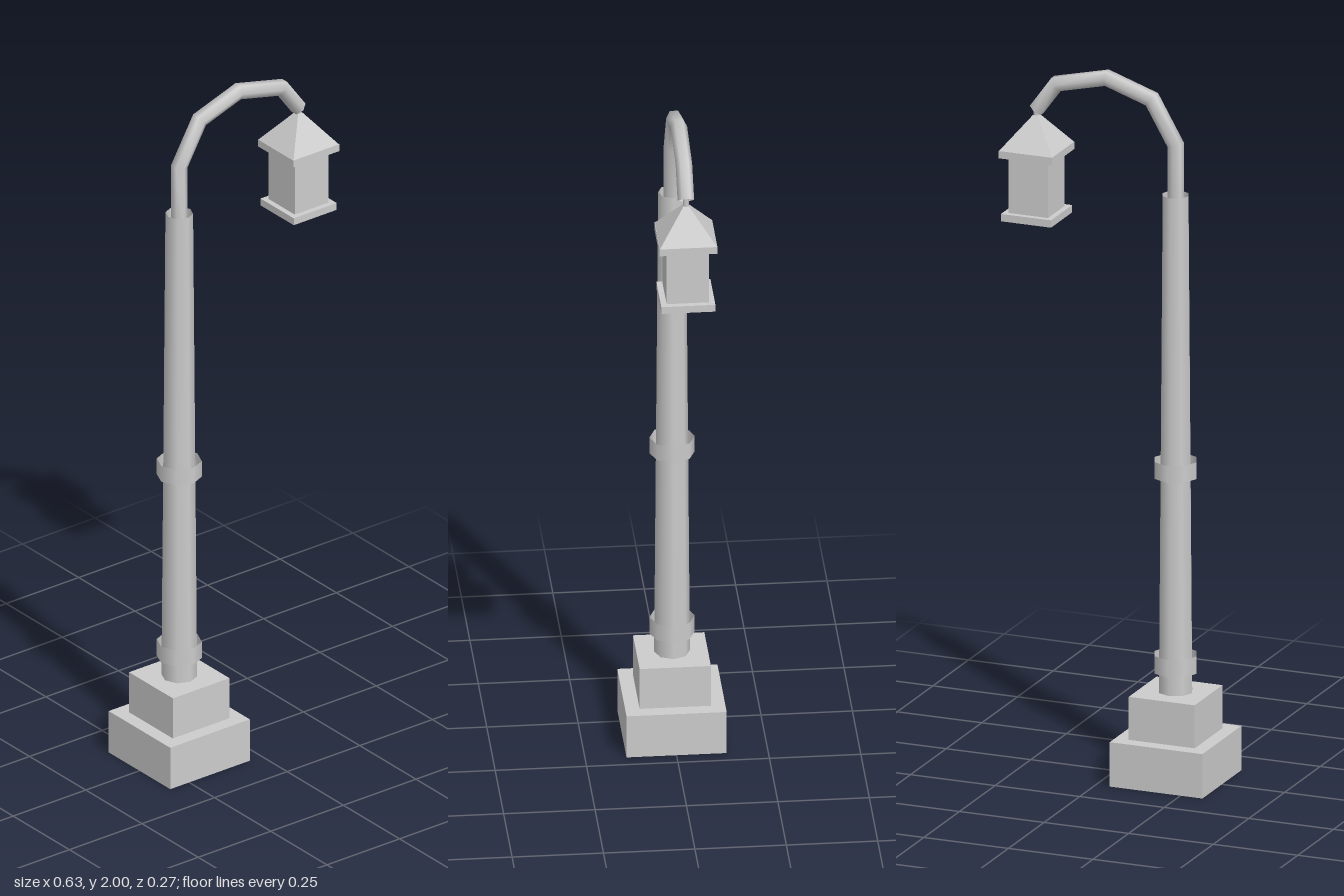
import * as THREE from 'three';

const POLE_X = -0.178, LAMP_X = 0.233;

export function createModel() {
  const group = new THREE.Group();
  const grey = new THREE.MeshStandardMaterial({ color: 0xcccccc });
  grey.name = 'grey metal';
  grey.side = THREE.DoubleSide; // thin open shells

  const add = (name, geometry, x = 0, y = 0) => {
    const mesh = new THREE.Mesh(geometry, grey);
    mesh.name = name;
    mesh.position.set(x, y, 0);
    group.add(mesh);
    return mesh;
  };

  // Square block between two heights, optionally without its bottom face
  const block = (name, x, half, y0, y1, openBottom = false) => {
    const g = new THREE.BoxGeometry(half * 2, y1 - y0, half * 2);
    if (openBottom) {
      const index = Array.from(g.index.array);
      index.splice(18, 6);
      g.setIndex(index);
      g.clearGroups();
    }
    add(name, g, x, (y0 + y1) / 2);
  };

  // Open tube with the given radii between two heights
  const pipe = (name, x, rBottom, rTop, y0, y1, sides = 8) =>
    add(name, new THREE.CylinderGeometry(rTop, rBottom, y1 - y0, sides, 1, true), x, (y0 + y1) / 2);

  // Stepped base
  block('lowerBase', POLE_X, 0.137, 0, 0.127, true);
  block('upperBase', POLE_X, 0.0975, 0.127, 0.25, true);

  // Tapered pole with two open collars
  pipe('pole', POLE_X, 0.049, 0.038, 0.25, 1.67);
  pipe('lowerCollar', POLE_X, 0.062, 0.062, 0.307, 0.357);
  pipe('upperCollar', POLE_X, 0.062, 0.062, 0.864, 0.912);

  // Bent arm
  add('arm', armGeometry([
    [-0.178, 1.6], [-0.178, 1.813], [-0.108, 1.934],
    [0.025, 1.979], [0.173, 1.944], [0.232, 1.863],
  ], 0.0227, 6));

  // Hanging lantern
  pipe('hanger', LAMP_X, 0.008, 0.008, 1.835, 1.875, 6);
  const roof = new THREE.CylinderGeometry(0.008 * Math.SQRT2, 0.078 * Math.SQRT2, 0.09, 4)
    .rotateY(Math.PI / 4).toNonIndexed();
  roof.computeVertexNormals();
  add('lanternRoof', roof, LAMP_X, 1.802);
  block('lanternRoofRim', LAMP_X, 0.079, 1.736, 1.757);
  block('lanternBody', LAMP_X, 0.058, 1.576, 1.736);
  block('lanternFloor', LAMP_X, 0.074, 1.555, 1.576);

  return group;
}

// Open tube along a polyline in the xy plane, mitred at each bend
function armGeometry(points, radius, sides) {
  const path = points.map(([x, y]) => new THREE.Vector2(x, y));
  const positions = [], index = [];
  path.forEach((p, i) => {
    const before = p.clone().sub(path[Math.max(i - 1, 0)]).normalize();
    const after = path[Math.min(i + 1, path.length - 1)].clone().sub(p).normalize();
    const along = before.clone().add(after).normalize();
    const miter = i > 0 && i < path.length - 1 ? 1 / along.dot(before) : 1;
    for (let j = 0; j < sides; j++) {
      const a = (j / sides) * Math.PI * 2;
      const across = Math.sin(a) * radius * miter;
      positions.push(p.x + along.y * across, p.y - along.x * across, Math.cos(a) * radius);
      if (i < path.length - 1) {
        const a0 = i * sides + j, b0 = i * sides + (j + 1) % sides;
        index.push(a0, b0, a0 + sides, b0, b0 + sides, a0 + sides);
      }
    }
  });
  const g = new THREE.BufferGeometry();
  g.setAttribute('position', new THREE.Float32BufferAttribute(positions, 3));
  g.setIndex(index);
  g.computeVertexNormals();
  return g;
}
